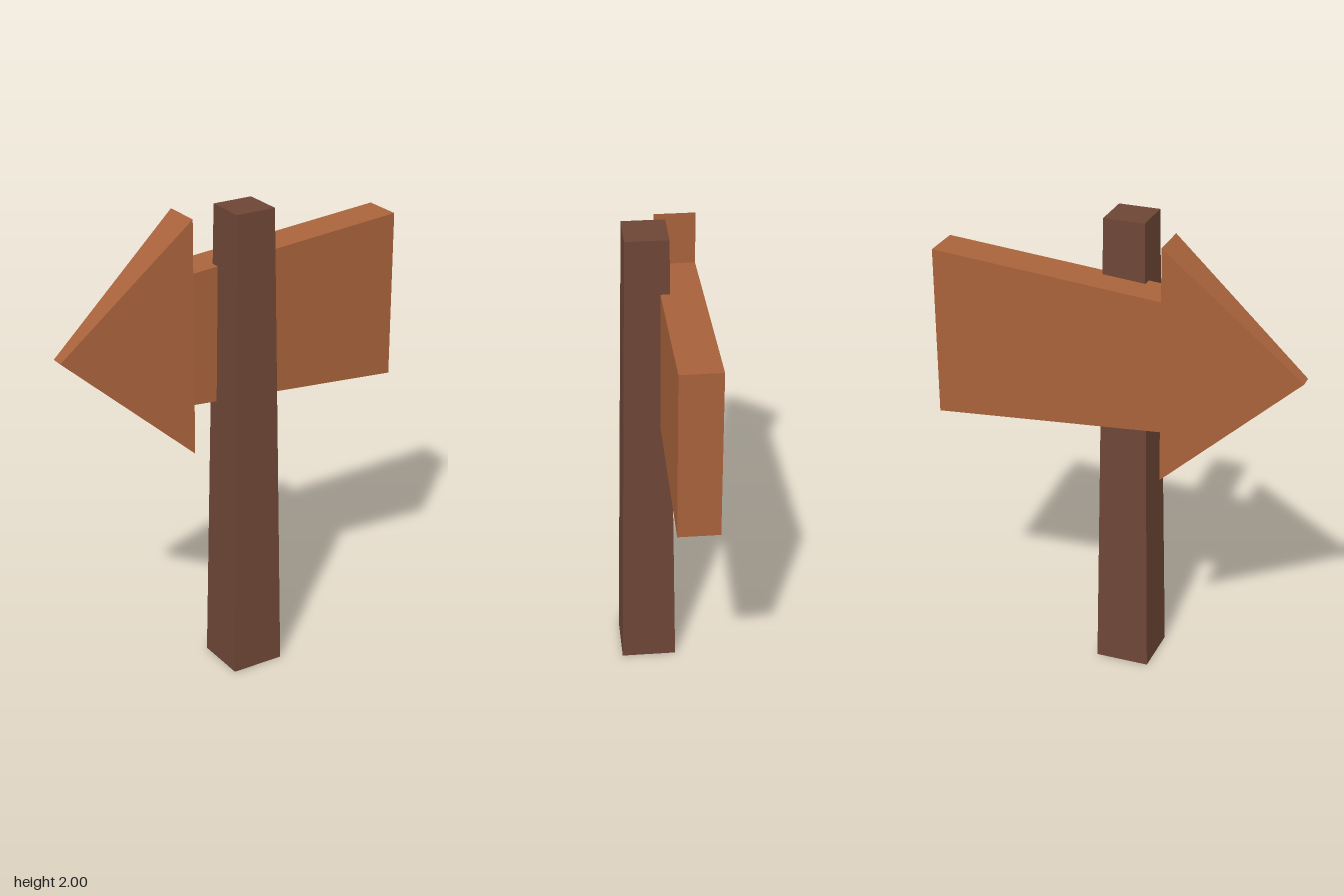
import * as THREE from 'three';

const postBrown = new THREE.MeshStandardMaterial({ color: 0x6d4636, flatShading: true });
postBrown.name = 'dark post wood';
const boardBrown = new THREE.MeshStandardMaterial({ color: 0xa8623b, flatShading: true });
boardBrown.name = 'light board wood';

// Moves every vertex by a rule, then refreshes the normals
function reshape(geometry, rule) {
  const pos = geometry.attributes.position;
  const v = new THREE.Vector3();
  for (let i = 0; i < pos.count; i++) {
    rule(v.fromBufferAttribute(pos, i));
    pos.setXYZ(i, v.x, v.y, v.z);
  }
  geometry.computeVertexNormals();
  return geometry;
}

// Outline extruded to the board thickness, centred on z = 0
function slab(points, depth) {
  const shape = new THREE.Shape(points.map(([x, y]) => new THREE.Vector2(x, y)));
  return new THREE.ExtrudeGeometry(shape, { depth, bevelEnabled: false }).translate(0, 0, -depth / 2);
}

function addMesh(parent, name, geometry, material) {
  const mesh = new THREE.Mesh(geometry, material);
  mesh.name = name;
  parent.add(mesh);
  return mesh;
}

export function createModel() {
  const model = new THREE.Group();
  model.name = 'signpost';

  // Square post, narrower at the top
  const postGeometry = reshape(new THREE.BoxGeometry(0.228, 2, 0.228), (v) => {
    if (v.y > 0) {
      v.x *= 0.75;
      v.z *= 0.75;
    }
  });
  addMesh(model, 'post', postGeometry, postBrown).position.set(0, 1, 0.051);

  // Arrow board behind the post
  const thickness = 0.165;
  const neckX = -0.2;
  const tipX = -0.76;
  const arrow = new THREE.Group();
  arrow.name = 'arrowBoard';
  arrow.position.z = -thickness / 2;
  model.add(arrow);

  // Shaft flares towards the tail
  const shaft = slab([[neckX, 1.19], [0.76, 1.115], [0.76, 1.825], [neckX, 1.745]], thickness);
  addMesh(arrow, 'arrowShaft', shaft, boardBrown);

  // Head thins towards its tip
  const head = reshape(slab([[tipX, 1.47], [neckX, 0.975], [neckX, 1.965]], thickness), (v) => {
    v.z *= THREE.MathUtils.mapLinear(v.x, neckX, tipX, 1, 0.33);
  });
  addMesh(arrow, 'arrowHead', head, boardBrown);

  return model;
}
